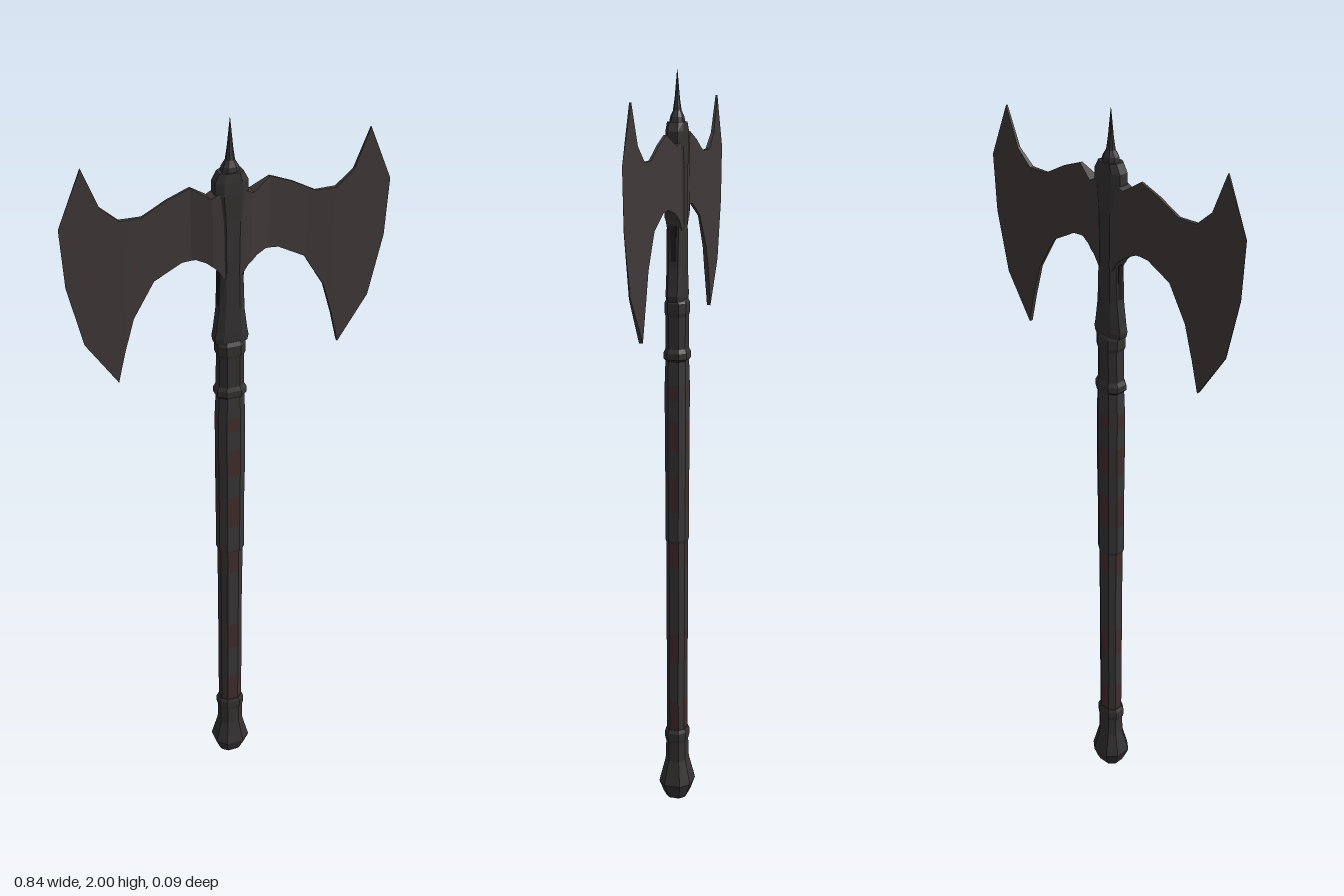
import * as THREE from 'three';

const mat = (name, color, extra = {}) => {
  const m = new THREE.MeshStandardMaterial({ color, flatShading: true, ...extra });
  m.name = name;
  return m;
};

// Eight-sided column from rows of [y, half width x, half depth z], closed at both ends.
// pickMaterial(row, side) returns a material index for each wall panel.
function column(rows, k = 0.5, pickMaterial = () => 0) {
  const ring = ([y, rx, rz]) => [
    [k, 1], [1, k], [1, -k], [k, -1], [-k, -1], [-1, -k], [-1, k], [-k, 1],
  ].map(([a, b]) => [a * rx, y, b * rz]);
  const buckets = [[], []];
  const tri = (i, a, b, c) => buckets[i].push(...a, ...b, ...c);
  for (let r = 0; r < rows.length - 1; r++) {
    const lo = ring(rows[r]), hi = ring(rows[r + 1]);
    for (let s = 0; s < 8; s++) {
      const n = (s + 1) % 8, m = pickMaterial(r, s);
      tri(m, lo[s], lo[n], hi[n]);
      tri(m, lo[s], hi[n], hi[s]);
    }
  }
  const bottom = ring(rows[0]), top = ring(rows[rows.length - 1]);
  for (let s = 1; s < 7; s++) {
    tri(0, bottom[0], bottom[s + 1], bottom[s]);
    tri(0, top[0], top[s], top[s + 1]);
  }
  const geo = new THREE.BufferGeometry();
  geo.setAttribute('position', new THREE.Float32BufferAttribute(buckets.flat(), 3));
  geo.addGroup(0, buckets[0].length / 3, 0);
  if (buckets[1].length) geo.addGroup(buckets[0].length / 3, buckets[1].length / 3, 1);
  geo.computeVertexNormals();
  return geo;
}

// Linear interpolation along a list of [x, value] points
function sample(points, x) {
  for (let i = 1; i < points.length; i++) {
    const [x0, v0] = points[i - 1], [x1, v1] = points[i];
    if (x <= x1) return v0 + (v1 - v0) * (x - x0) / (x1 - x0);
  }
  return points[points.length - 1][1];
}

// One blade: upper and lower outlines joined in columns, thickness varying outward
function bladeGeometry(dir) {
  const upper = [[0.02, 1.83], [0.055, 1.815], [0.1, 1.845], [0.16, 1.822], [0.22, 1.79],
    [0.275, 1.79], [0.32, 1.83], [0.36, 1.93], [0.42, 1.79]];
  const lower = [[0.02, 1.6], [0.04, 1.63], [0.065, 1.65], [0.09, 1.66], [0.125, 1.657], [0.195, 1.62],
    [0.25, 1.53], [0.275, 1.445], [0.295, 1.36], [0.375, 1.48], [0.412, 1.64], [0.42, 1.79]];
  const thick = [[0.02, 0.02], [0.05, 0.018], [0.1, 0.004], [0.2, 0.003], [0.27, 0.006],
    [0.35, 0.003], [0.42, 0]];
  const xs = [...new Set([...upper, ...lower, ...thick].map(p => p[0]))].sort((a, b) => a - b);
  const section = x => {
    const t = sample(thick, x), u = sample(upper, x), l = sample(lower, x);
    return [[x * dir, u, t], [x * dir, l, t], [x * dir, l, -t], [x * dir, u, -t]];
  };
  const pos = [];
  for (let i = 0; i < xs.length - 1; i++) {
    const a = section(xs[i]), b = section(xs[i + 1]);
    for (let j = 0; j < 4; j++) {
      const n = (j + 1) % 4;
      const quad = [a[j], a[n], b[n], b[j]];
      if (dir < 0) quad.reverse();
      pos.push(...[0, 1, 2, 0, 2, 3].flatMap(q => quad[q]));
    }
  }
  const geo = new THREE.BufferGeometry();
  geo.setAttribute('position', new THREE.Float32BufferAttribute(pos, 3));
  geo.computeVertexNormals();
  return geo;
}

export function createModel() {
  const model = new THREE.Group();
  model.name = 'battleAxe';
  const steel = mat('blade steel', 0x403a39, { side: THREE.DoubleSide });
  const iron = mat('dark iron', 0x353232);
  const grip = mat('grip leather', 0x393636);
  const red = mat('worn red leather', 0x432d2d);
  const black = mat('blackened recess', 0x1f1d1d);
  const add = (name, geo, material, parent = model) => {
    const mesh = new THREE.Mesh(geo, material);
    mesh.name = name;
    parent.add(mesh);
    return mesh;
  };

  // Pommel and lower collar
  add('pommel', column([[0, 0.032, 0.028], [0.012, 0.038, 0.034], [0.045, 0.051, 0.045],
    [0.06, 0.047, 0.042], [0.115, 0.034, 0.029], [0.175, 0.033, 0.027]]), iron);
  add('lowerCollar', column([[0.172, 0.035, 0.028], [0.182, 0.037, 0.03],
    [0.2, 0.037, 0.03], [0.21, 0.032, 0.027]]), iron);

  // Grip with worn red panels on its broad faces
  const gripRows = [[0.2, 0.03, 0.025], [0.3, 0.031, 0.025], [0.41, 0.031, 0.025], [0.5, 0.031, 0.026],
    [0.62, 0.031, 0.026], [0.69, 0.032, 0.026], [0.76, 0.032, 0.026], [0.77, 0.036, 0.028],
    [0.85, 0.036, 0.028], [0.95, 0.036, 0.028], [1.02, 0.037, 0.029], [1.1, 0.037, 0.029],
    [1.16, 0.037, 0.029], [1.2, 0.037, 0.029], [1.27, 0.034, 0.027]];
  const redRows = new Set([0, 2, 5, 8, 10, 12]);
  add('grip', column(gripRows, 0.5, (r, s) => (redRows.has(r) && s % 2 === 1 ? 1 : 0)), [grip, red]);

  // Upper collar under the head
  add('upperCollar', column([[1.262, 0.034, 0.027], [1.268, 0.04, 0.031], [1.284, 0.04, 0.031],
    [1.295, 0.034, 0.027], [1.38, 0.033, 0.027], [1.39, 0.037, 0.029], [1.415, 0.037, 0.029],
    [1.425, 0.034, 0.024]]), iron);

  // Waisted socket holding the blades
  const head = new THREE.Group();
  head.name = 'axeHead';
  model.add(head);
  add('socket', column([[1.42, 0.042, 0.023], [1.435, 0.045, 0.024], [1.455, 0.041, 0.024],
    [1.51, 0.034, 0.023], [1.62, 0.03, 0.023], [1.75, 0.033, 0.023], [1.82, 0.042, 0.024],
    [1.85, 0.042, 0.024], [1.873, 0.03, 0.022]], 0.55), iron, head);

  // Mirrored blades and dark slots along the socket sides
  for (const dir of [1, -1]) {
    const side = dir > 0 ? 'left' : 'right';
    add(side + 'Blade', bladeGeometry(dir), steel, head);
    const slot = add(side + 'Slot', new THREE.BoxGeometry(0.006, 0.12, 0.014), black, head);
    slot.position.set(dir * 0.0305, 1.555, 0);
  }

  // Top spike
  add('topSpike', column([[1.865, 0.024, 0.018], [1.885, 0.02, 0.016], [1.9, 0.011, 0.01],
    [1.93, 0.007, 0.006], [2, 0.0005, 0.0005]]), iron, head);
  return model;
}
